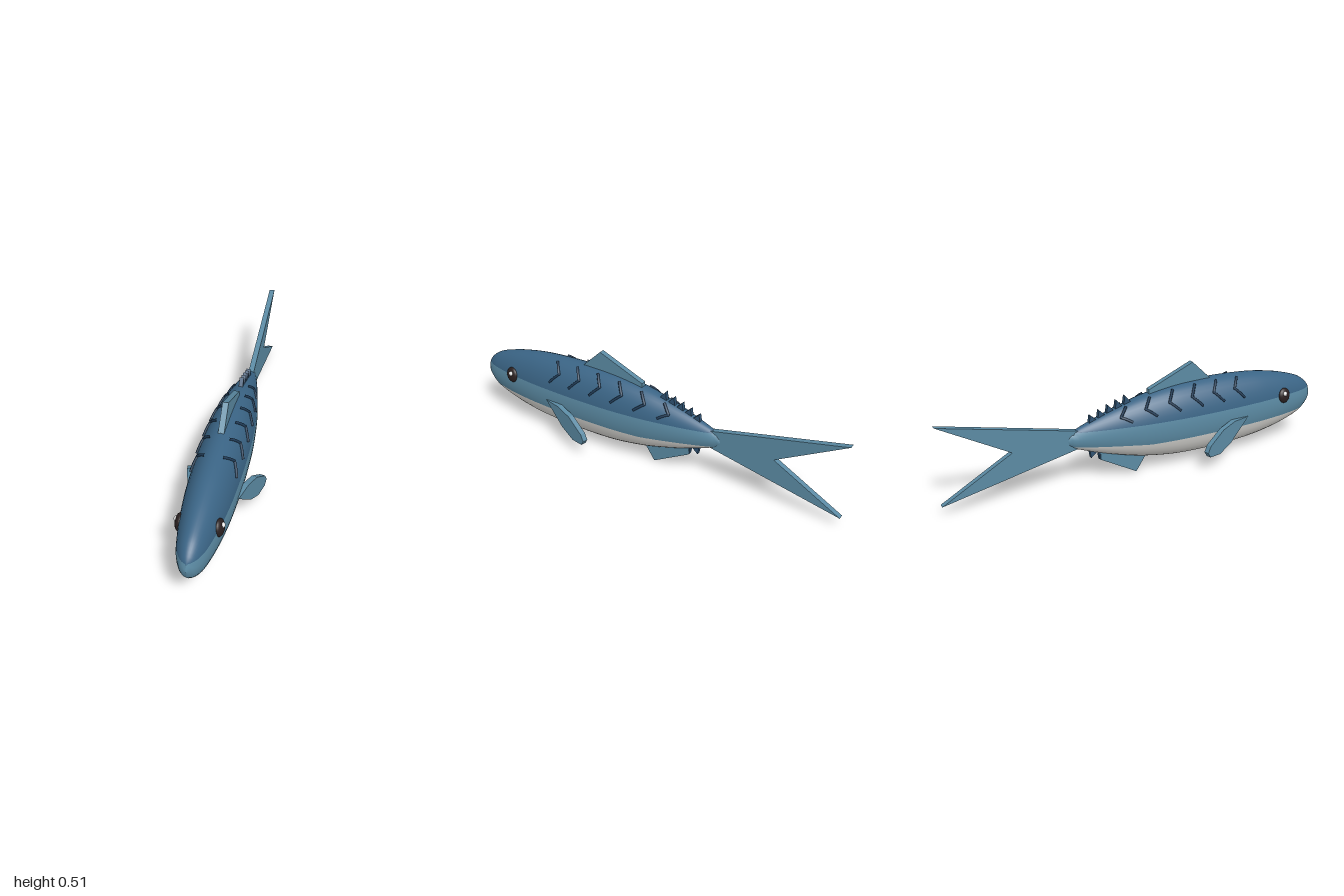
import * as THREE from 'three';

const mat = (name, color) => {
  const m = new THREE.MeshStandardMaterial({ color });
  m.name = name;
  return m;
};
const CY = 0.23;      // height of the body axis
const ASPECT = 0.61;  // body half-width / half-height

// Body half-height along z, nose to tail
const profile = new THREE.SplineCurve([
  [1, 0.0005], [0.985, 0.045], [0.95, 0.08], [0.9, 0.108], [0.8, 0.139], [0.7, 0.16], [0.6, 0.174],
  [0.45, 0.184], [0.3, 0.186], [0.15, 0.179], [0, 0.157], [-0.1, 0.133], [-0.2, 0.104],
  [-0.3, 0.07], [-0.38, 0.038], [-0.41, 0.016], [-0.415, 0.0005],
].map(([z, h]) => new THREE.Vector2(z, h))).getSpacedPoints(90);

function halfHeight(z) {
  const i = Math.max(1, profile.findIndex((p) => p.x <= z));
  const a = profile[i - 1], b = profile[i];
  return THREE.MathUtils.lerp(a.y, b.y, (z - a.x) / (b.x - a.x));
}

// Point on the body surface at angle a (0 = left side, PI/2 = top)
function onBody(z, a, scale = 1) {
  const h = halfHeight(z) * scale;
  return new THREE.Vector3(Math.cos(a) * h * ASPECT, CY + Math.sin(a) * h, z);
}

// Body loft; each ring is divided where the colour bands meet
function bodyGeometry() {
  const bands = [6, 4, 8], half = 18, ring = 36;
  const pos = [], lists = [[], [], []];
  for (const { x: z, y: h } of profile) {
    const angleAt = (y) => Math.asin(THREE.MathUtils.clamp((y - CY) / h, -1, 1));
    const stops = [-Math.PI / 2, angleAt(0.16 + Math.max(0, -z) * 0.1), angleAt(0.268), Math.PI / 2];
    const angles = [-Math.PI / 2];
    bands.forEach((n, k) => {
      for (let s = 1; s <= n; s++) angles.push(THREE.MathUtils.lerp(stops[k], stops[k + 1], s / n));
    });
    for (let j = half - 1; j > 0; j--) angles.push(Math.PI - angles[j]);
    for (const a of angles) pos.push(Math.cos(a) * h * ASPECT, CY + Math.sin(a) * h, z);
  }
  for (let i = 0; i < profile.length - 1; i++) {
    for (let j = 0; j < ring; j++) {
      const k = j < half ? j : ring - 1 - j;
      const band = k < bands[0] ? 0 : k < bands[0] + bands[1] ? 1 : 2;
      const a = i * ring + j, b = i * ring + (j + 1) % ring;
      lists[band].push(a, a + ring, b, b, a + ring, b + ring);
    }
  }
  const geo = new THREE.BufferGeometry();
  geo.setAttribute('position', new THREE.Float32BufferAttribute(pos, 3));
  geo.setIndex(lists.flat());
  let start = 0;
  lists.forEach((l, k) => {
    geo.addGroup(start, l.length, k);
    start += l.length;
  });
  geo.computeVertexNormals();
  return geo;
}

// Flat fin from a [z, y] outline, centred on x = 0
function slab(points, thickness) {
  const shape = new THREE.Shape(points.map(([z, y]) => new THREE.Vector2(z, y)));
  const geo = new THREE.ExtrudeGeometry(shape, { depth: thickness, bevelEnabled: false });
  return geo.translate(0, 0, -thickness / 2).rotateY(-Math.PI / 2);
}

export function createModel() {
  const root = new THREE.Group();
  root.name = 'fish';
  const back = mat('backBlue', 0x3a6485);
  const side = mat('sideBlue', 0x5b8aa3);
  const belly = mat('bellyWhite', 0xd9d8d4);
  const navy = mat('stripeNavy', 0x1f3a55);
  const finlet = mat('finletBlue', 0x2f5272);
  const eyeDark = mat('eyeDark', 0x2a2020);
  const white = mat('eyeGlint', 0xffffff);
  const add = (name, geo, material, parent = root) => {
    const m = new THREE.Mesh(geo, material);
    m.name = name;
    parent.add(m);
    return m;
  };

  add('body', bodyGeometry(), [belly, side, back]);

  // Fins on the centre line
  add('dorsalFin', slab([[0.37, 0.39], [0.36, 0.415], [0.26, 0.51], [0.02, 0.41], [0.02, 0.36]], 0.027), side);
  add('analFin', slab([[0.01, 0.11], [0, 0.075], [-0.05, 0], [-0.24, 0.105], [-0.24, 0.16]], 0.027), side);
  add('tailFin', slab([[-0.33, 0.27], [-1, 0.42], [-0.67, 0.235], [-1, 0.05], [-0.33, 0.19]], 0.027), side);

  // Finlets above and below the tail stem
  for (let i = 0; i < 5; i++) {
    const z = -0.07 - i * 0.045;
    for (const s of [1, -1]) {
      const y0 = CY + s * (halfHeight(z) - 0.012);
      const y1 = CY + s * (halfHeight(z - 0.04) - 0.015);
      const tip = CY + s * (halfHeight(z - 0.04) + 0.042 - i * 0.002);
      add(s > 0 ? 'upperFinlet' : 'lowerFinlet',
        slab([[z, y0], [z - 0.037, tip], [z - 0.045, y1]], 0.02), finlet);
    }
  }

  // Pectoral fin outline, relative to its root
  const pectoral = slab([[0, 0], [-0.1, 0.002], [-0.185, -0.02], [-0.275, -0.08], [-0.292, -0.112],
    [-0.275, -0.138], [-0.205, -0.142], [-0.125, -0.105]], 0.026);

  for (const s of [1, -1]) {
    const label = s > 0 ? 'left' : 'right';
    const fin = add(label + 'PectoralFin', pectoral, side);
    fin.position.set(s * 0.1, 0.21, 0.53);
    fin.rotation.y = -s * 0.26;

    // Eye with a small glint
    const eye = add(label + 'Eye', new THREE.SphereGeometry(1, 24, 16), eyeDark);
    eye.scale.set(0.018, 0.039, 0.037);
    eye.position.set(s * 0.083, 0.269, 0.775);
    eye.rotation.set(0, -s * 0.15, s * 0.16);
    const glint = add(label + 'EyeGlint', new THREE.SphereGeometry(0.0125, 16, 12), white);
    glint.position.set(s * 0.094, 0.281, 0.771);

    // Chevron stripes lying on the flank
    for (let i = 0; i < 6; i++) {
      const z = 0.465 - i * 0.123;
      const mid = [z, 0.78];
      for (const end of [[z + 0.038, 1.22], [z + 0.05, 0.46]]) {
        const pts = [0, 0.33, 0.67, 1].map((t) => {
          const p = onBody(THREE.MathUtils.lerp(mid[0], end[0], t),
            THREE.MathUtils.lerp(mid[1], end[1], t), 1.015);
          p.x *= s;
          return p;
        });
        const tube = new THREE.TubeGeometry(new THREE.CatmullRomCurve3(pts), 6, 0.0065, 6);
        add(label + 'Stripe', tube, navy);
      }
      // Rounded stripe corner
      const p = onBody(mid[0], mid[1], 1.015);
      add(label + 'StripeCorner', new THREE.SphereGeometry(0.0068, 8, 6), navy).position.set(s * p.x, p.y, p.z);
    }
  }
  return root;
}
